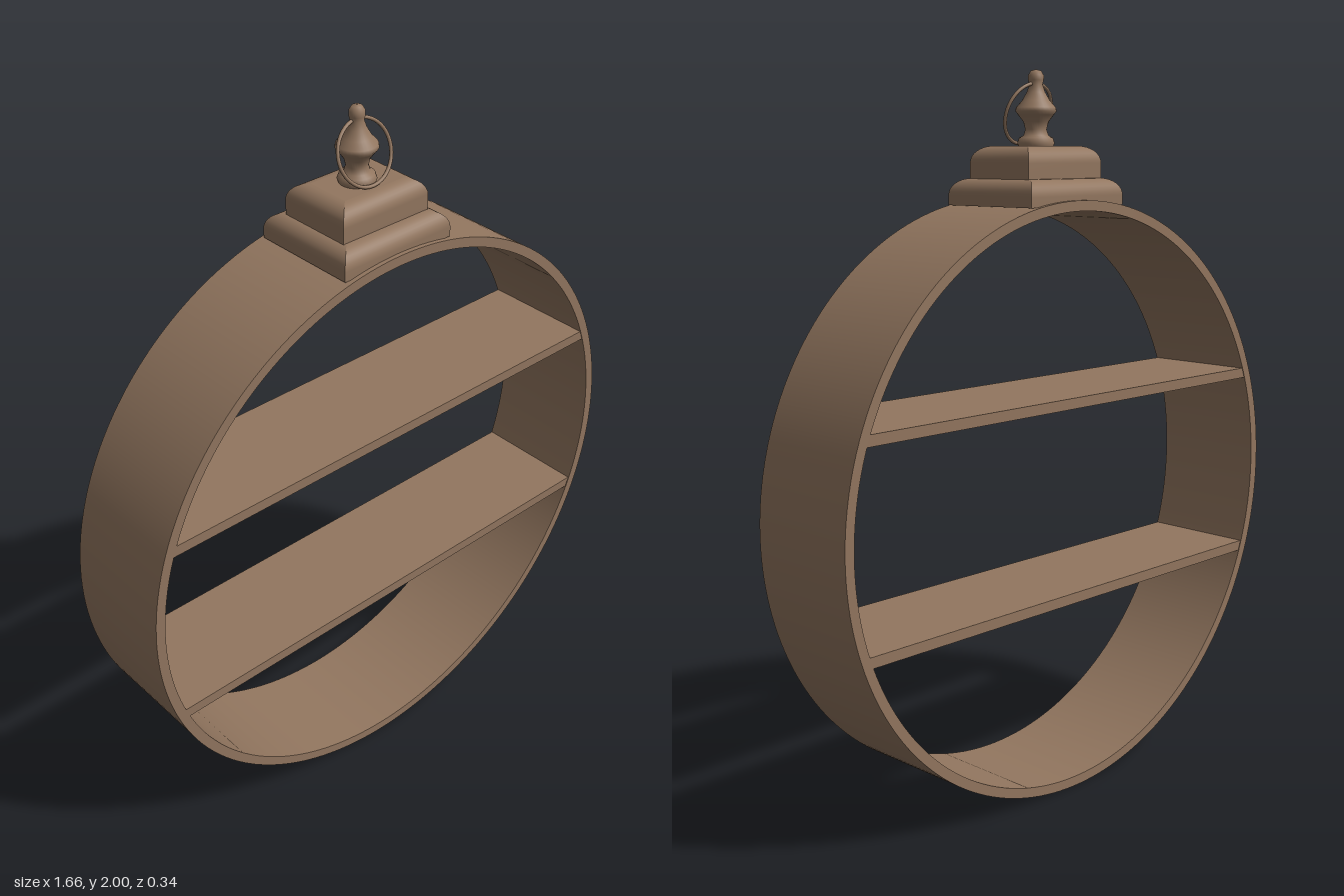
import * as THREE from 'three';
import { mergeGeometries } from 'three/addons/utils/BufferGeometryUtils.js';

// Rectangular block with straight walls and a quarter-round top edge, mitred at the corners
function mouldedBlock(hx, hz, y0, y1, round) {
  const profile = [[0, y0], [0, y1 - round]];
  for (let i = 1; i <= 8; i++) {
    const a = (i / 8) * Math.PI / 2;
    profile.push([round * (1 - Math.cos(a)), y1 - round + round * Math.sin(a)]);
  }
  const corners = [[-1, 1], [1, 1], [1, -1], [-1, -1]];
  const parts = corners.map((c, k) => {
    const d = corners[(k + 1) % 4];
    const pos = [], index = [];
    profile.forEach(([inset, y], i) => {
      for (const [sx, sz] of [c, d]) pos.push(sx * (hx - inset), y, sz * (hz - inset));
      if (i) {
        const b = 2 * i - 2;
        index.push(b, b + 1, b + 3, b, b + 3, b + 2);
      }
    });
    const side = new THREE.BufferGeometry();
    side.setAttribute('position', new THREE.Float32BufferAttribute(pos, 3));
    side.setIndex(index);
    side.computeVertexNormals();
    return side;
  });
  const top = new THREE.PlaneGeometry(2 * (hx - round), 2 * (hz - round)).rotateX(-Math.PI / 2).translate(0, y1, 0);
  const bottom = new THREE.PlaneGeometry(2 * hx, 2 * hz).rotateX(Math.PI / 2).translate(0, y0, 0);
  for (const g of [top, bottom]) g.deleteAttribute('uv');
  return mergeGeometries([...parts, top, bottom]);
}

export function createModel() {
  const group = new THREE.Group();
  const wood = new THREE.MeshStandardMaterial({ color: 0x92765f });
  wood.name = 'brown wood';
  const add = (name, geometry) => {
    const mesh = new THREE.Mesh(geometry, wood);
    mesh.name = name;
    group.add(mesh);
    return mesh;
  };

  const R = 0.828, depth = 0.34;

  // Round frame
  const outline = new THREE.Shape().absarc(0, 0, R, 0, Math.PI * 2, false);
  outline.holes.push(new THREE.Path().absarc(0, 0, R - 0.028, 0, Math.PI * 2, true));
  const frame = new THREE.ExtrudeGeometry(outline, { depth, bevelEnabled: false, curveSegments: 96 });
  // Radial normals keep the curved walls smooth
  const p = frame.attributes.position, n = frame.attributes.normal;
  for (let i = 0; i < p.count; i++) {
    if (Math.abs(n.getZ(i)) > 0.5) continue;
    const r = Math.hypot(p.getX(i), p.getY(i)), s = r > R - 0.014 ? 1 : -1;
    n.setXYZ(i, s * p.getX(i) / r, s * p.getY(i) / r, 0);
  }
  add('roundFrame', frame.translate(0, R, -depth / 2));

  // Two shelves
  [['lowerShelf', 0.559], ['upperShelf', 1.111]].forEach(([name, y]) => {
    add(name, new THREE.BoxGeometry(1.515, 0.03, depth - 0.004)).position.y = y;
  });

  // Stepped plinth
  add('lowerPlinth', mouldedBlock(0.18, 0.157, 1.64, 1.712, 0.045));
  add('upperPlinth', mouldedBlock(0.143, 0.11, 1.71, 1.798, 0.045));

  // Turned finial
  const turning = [
    [0.047, 1.795], [0.051, 1.806], [0.046, 1.82], [0.034, 1.826], [0.029, 1.842],
    [0.034, 1.862], [0.048, 1.88], [0.056, 1.89], [0.054, 1.9], [0.038, 1.918],
    [0.025, 1.94], [0.018, 1.96], [0.021, 1.972], [0.021, 1.985], [0.014, 1.997], [0, 2],
  ].map(([r, y]) => new THREE.Vector2(r, y));
  add('finial', new THREE.LatheGeometry(turning, 32));

  // Hanging ring, leaning against the finial
  const ring = add('hangingRing', new THREE.TorusGeometry(0.085, 0.005, 10, 48));
  ring.position.set(0, 1.884, 0.029);
  ring.rotation.x = -0.35;

  return group;
}
